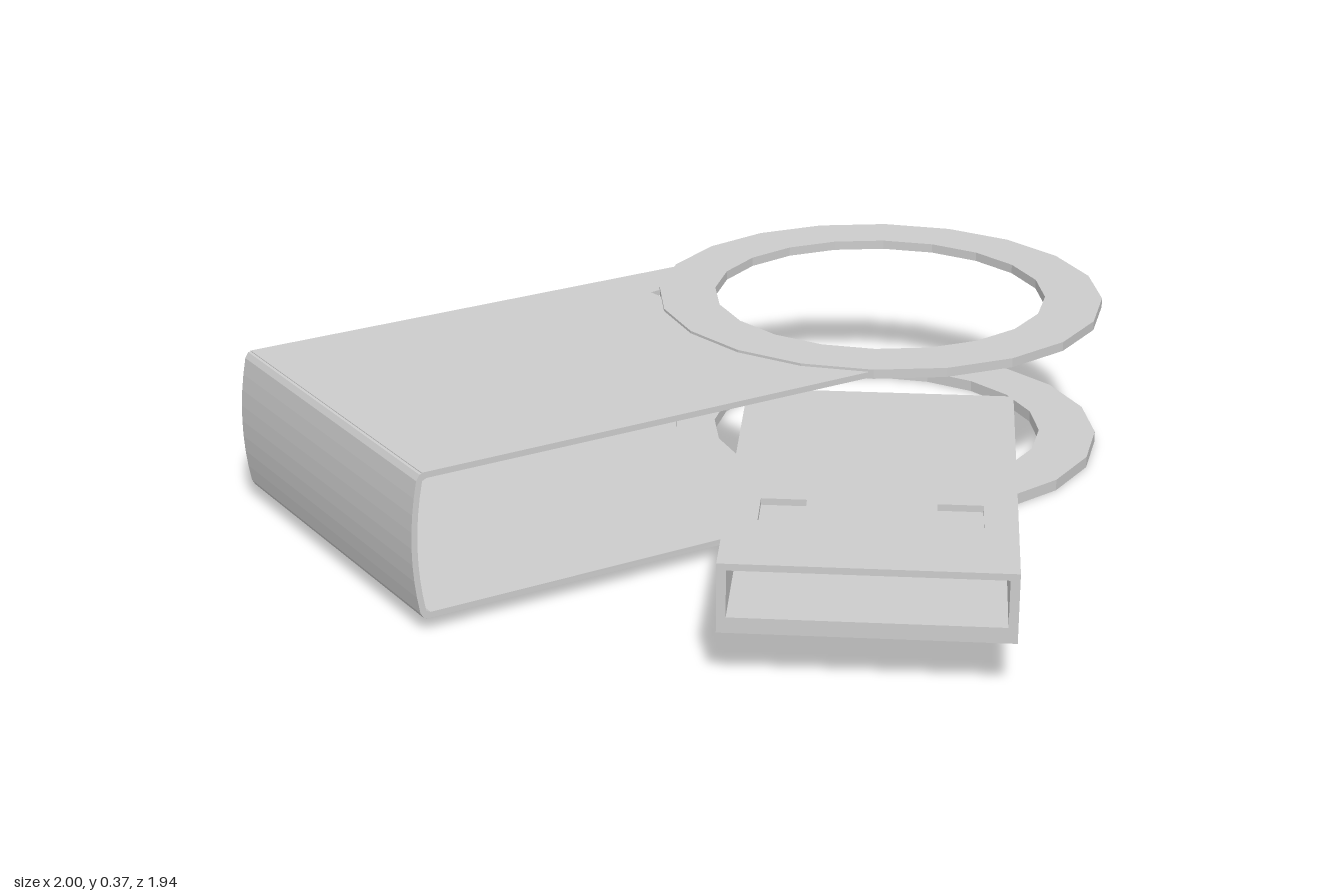
import * as THREE from 'three';

const material = new THREE.MeshStandardMaterial({ color: 0xcccccc, flatShading: true, side: THREE.DoubleSide });

function add(parent, name, geometry) {
  const mesh = new THREE.Mesh(geometry, material);
  mesh.name = name;
  parent.add(mesh);
  return mesh;
}

// Points on an arc of a 20-sided circle
function arc(cx, cy, r, from, to, steps) {
  return Array.from({ length: steps + 1 }, (_, i) => {
    const a = from + (to - from) * i / steps;
    return new THREE.Vector2(cx + r * Math.cos(a), cy + r * Math.sin(a));
  });
}

// Horizontal slab: shape drawn in x/z, lying between heights y0 and y1
function slab(shape, y0, y1) {
  return new THREE.ExtrudeGeometry(shape, { depth: y1 - y0, bevelEnabled: false })
    .rotateX(Math.PI / 2).translate(0, y1, 0);
}

function box(x0, x1, y0, y1, z0, z1) {
  return new THREE.BoxGeometry(x1 - x0, y1 - y0, z1 - z0)
    .translate((x0 + x1) / 2, (y0 + y1) / 2, (z0 + z1) / 2);
}

function rect(Type, x0, x1, z0, z1) {
  return new Type([[x0, z0], [x1, z0], [x1, z1], [x0, z1]].map(p => new THREE.Vector2(...p)));
}

// Swivel cover: two plates joined by a bulged end wall
function createCover() {
  const cover = new THREE.Group();
  cover.name = 'swivelCover';
  const width = 0.864, pivotU = 1.495, pivotW = 0.443;

  const plate = new THREE.Shape([
    new THREE.Vector2(0.03, 0),
    new THREE.Vector2(1.208, 0),
    ...arc(pivotU, pivotW, 0.5, Math.PI * 1.32, Math.PI * 0.68, 7),
    new THREE.Vector2(1.208, width),
    new THREE.Vector2(0.03, width),
  ]);
  // Small triangular gap beside the ring
  plate.holes.push(new THREE.Path([[1.031, 0.135], [1.069, 0.13], [1.036, 0.193]]
    .map(p => new THREE.Vector2(...p))));
  add(cover, 'topPlate', slab(plate, 0.354, 0.368));
  add(cover, 'bottomPlate', slab(plate, 0.031, 0.045));

  // Bulged end wall with softened corners
  const wall = new THREE.Shape();
  wall.moveTo(0.04, 0.368);
  wall.lineTo(0.024, 0.365);
  wall.lineTo(0.016, 0.352);
  wall.quadraticCurveTo(-0.016, 0.2, 0.016, 0.047);
  wall.lineTo(0.024, 0.034);
  wall.lineTo(0.04, 0.031);
  wall.lineTo(0.04, 0.045);
  wall.lineTo(0.03, 0.05);
  wall.quadraticCurveTo(-0.002, 0.2, 0.03, 0.349);
  wall.lineTo(0.04, 0.354);
  add(cover, 'endWall', new THREE.ExtrudeGeometry(wall, { depth: width, bevelEnabled: false, curveSegments: 8 }));

  cover.position.set(-1, 0, 0.1);
  cover.rotation.y = 0.638;
  return cover;
}

// Hollow plug with two windows in its top
function createPlug() {
  const plug = new THREE.Group();
  plug.name = 'plug';
  const x0 = 0.17, x1 = 0.785, y0 = 0.115, y1 = 0.27, z0 = -0.03, z1 = 0.965, t = 0.02;

  const top = rect(THREE.Shape, x0, x1, z0, z1);
  for (const x of [0.24, 0.615]) top.holes.push(rect(THREE.Path, x, x + 0.098, 0.62, 0.738));
  add(plug, 'plugTop', slab(top, 0.255, y1));
  add(plug, 'plugFloor', box(x0, x1, y0, 0.13, z0, z1));
  add(plug, 'plugInsert', box(x0 + t, x1 - t, 0.13, 0.15, 0.66, z1));
  add(plug, 'plugRightSide', box(x0, x0 + t, 0.13, 0.255, z0, z1));
  add(plug, 'plugLeftSide', box(x1 - t, x1, 0.13, 0.255, z0, z1));
  add(plug, 'plugBack', box(x0 + t, x1 - t, 0.13, 0.255, z0, z0 + t));
  return plug;
}

export function createModel() {
  const model = new THREE.Group();
  model.name = 'swivelStick';
  model.add(createCover(), createPlug());

  // Pivot rings above and below
  const full = Math.PI * 2;
  const ring = new THREE.Shape(arc(0.463, -0.438, 0.537, 0, full, 20).slice(0, 20));
  ring.holes.push(new THREE.Path(arc(0.463, -0.438, 0.4, 0, full, 20).slice(0, 20)));
  add(model, 'topRing', slab(ring, 0.352, 0.374));
  add(model, 'bottomRing', slab(ring, 0, 0.027));
  return model;
}
